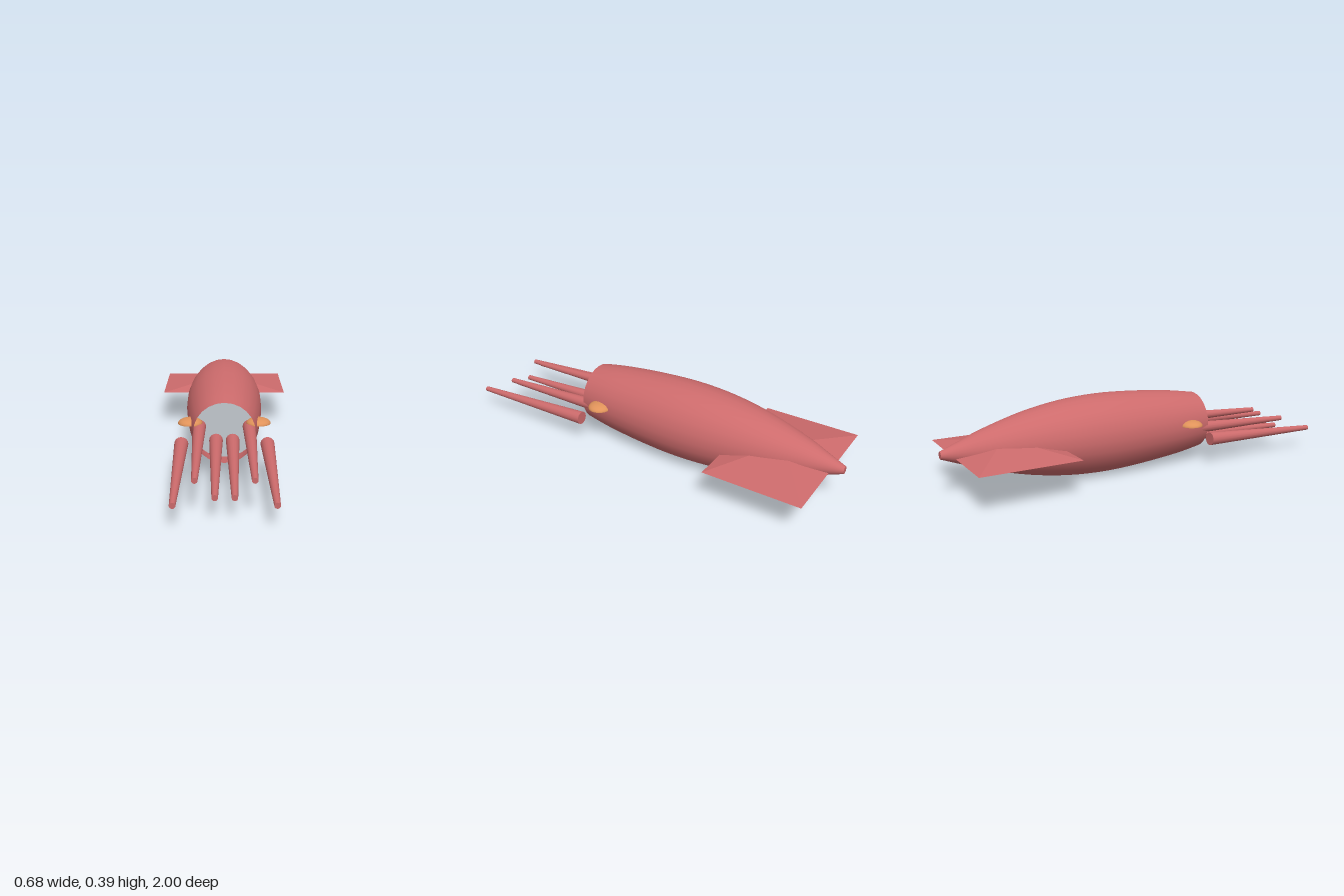
import * as THREE from 'three';

export function createModel() {
  const model = new THREE.Group();
  const red = new THREE.MeshStandardMaterial({ color: 0xcd6b6c, side: THREE.DoubleSide });
  red.name = 'skin red';
  const orange = new THREE.MeshStandardMaterial({ color: 0xe0935a, side: THREE.DoubleSide });
  orange.name = 'eye orange';
  const grey = new THREE.MeshStandardMaterial({ color: 0xc2c8ce, side: THREE.DoubleSide });
  grey.name = 'inner grey';

  const add = (name, geometry, material, x = 0, y = 0, z = 0) => {
    const mesh = new THREE.Mesh(geometry, material);
    mesh.name = name;
    mesh.position.set(x, y, z);
    model.add(mesh);
    return mesh;
  };
  const axisY = 0.197;

  // Mantle: spindle turned about z, open at the front
  const profile = new THREE.SplineCurve([
    [0.018, -1], [0.056, -0.9], [0.093, -0.8], [0.149, -0.6], [0.183, -0.4],
    [0.195, -0.2], [0.188, 0], [0.169, 0.21], [0.146, 0.36],
  ].map(([r, z]) => new THREE.Vector2(r, z)));
  const mantle = new THREE.LatheGeometry(profile.getPoints(32), 24);
  mantle.rotateX(Math.PI / 2);
  add('mantle', mantle, red, 0, axisY, 0);
  const tip = new THREE.CircleGeometry(0.018, 24);
  tip.rotateY(Math.PI);
  add('mantleTip', tip, red, 0, axisY, -1);

  // Recessed disc closing the mantle opening
  add('innerDisc', new THREE.CircleGeometry(0.168, 24), grey, 0, axisY, 0.21);

  // Fins: one broad, very flat four-sided pyramid through the tail
  const fin = new THREE.ConeGeometry(Math.SQRT2, 1, 4).toNonIndexed();
  fin.rotateY(Math.PI / 4);
  fin.translate(0, 0.5, 0);
  fin.scale(0.342, 0.055, 0.24);
  fin.computeVertexNormals();
  add('tailFins', fin, red, 0, 0.18, -0.7);

  // Tentacles: tapered, drooping slightly towards the front
  const length = 0.67;
  const tentacle = new THREE.CylinderGeometry(0.013, 0.033, length, 16);
  tentacle.rotateX(Math.PI / 2);
  const tentacles = [
    ['outerTentacle', 0.202, 0.123, 0.665, 0.027],
    ['upperTentacle', 0.121, 0.174, 0.54, 0.022],
    ['lowerTentacle', 0.04, 0.112, 0.57, 0.021],
  ];

  for (const [suffix, s] of [['Left', 1], ['Right', -1]]) {
    for (const [name, x, y, z, drop] of tentacles) {
      add(name + suffix, tentacle, red, s * x, y, z).rotation.x = Math.asin(drop / length);
    }
    // Eye: shallow dome set half into the mantle
    const eye = new THREE.SphereGeometry(1, 24, 8, 0, Math.PI * 2, 0, Math.PI / 2);
    eye.scale(0.059, 0.027, 0.059);
    add('eye' + suffix, eye, orange, s * 0.163, 0.21, 0.24);
  }
  return model;
}
